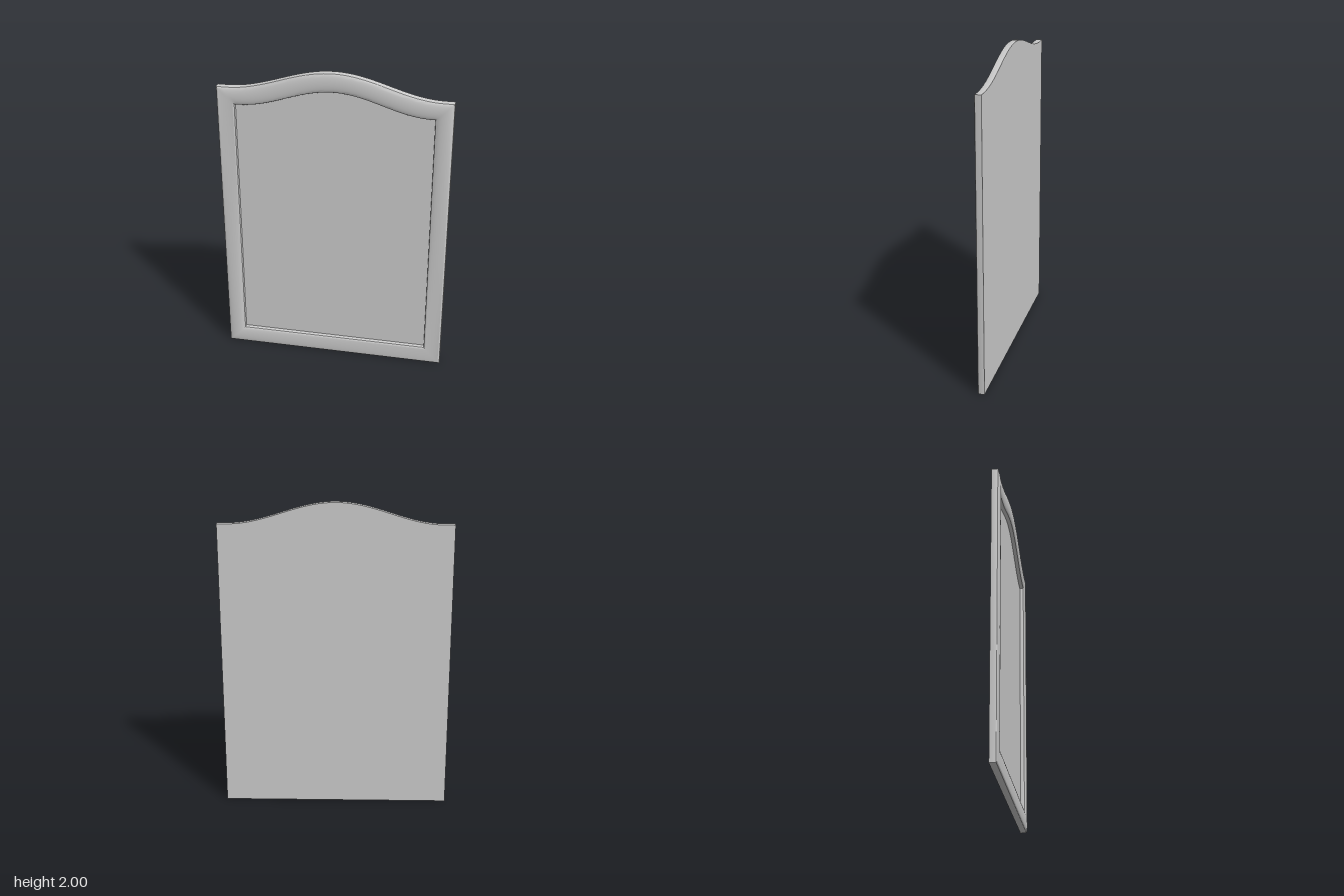
import * as THREE from 'three';
import { toCreasedNormals } from 'three/addons/utils/BufferGeometryUtils.js';

const BACK = -0.025, PANEL_FRONT = -0.01, ARCH_STEPS = 48;

// Anticlockwise outline: straight sides and base, bell-shaped arch on top
function outline(halfWidth, bottom, shoulder, rise, archHalf) {
  const points = [new THREE.Vector2(-halfWidth, bottom), new THREE.Vector2(halfWidth, bottom)];
  for (let i = 0; i <= ARCH_STEPS; i++) {
    const x = halfWidth * (1 - 2 * i / ARCH_STEPS);
    const t = Math.min(Math.abs(x) / archHalf, 1);
    points.push(new THREE.Vector2(x, shoulder + rise * 0.5 * (1 + Math.cos(Math.PI * t))));
  }
  return points;
}

// Closed moulding section: [fraction from outer to inner edge, z]
function mouldingProfile() {
  const profile = [[0, BACK]];
  const steps = 14;
  for (let i = 0; i <= steps; i++) {
    const a = Math.PI * (1 - i / steps);
    profile.push([0.5 + 0.5 * Math.cos(a), 0.011 + 0.014 * Math.sin(a)]);
  }
  profile.push([1, BACK], [0, BACK]);
  return profile;
}

// Sweep the section between two paired outlines, giving mitred corners
function mouldingGeometry(outer, inner) {
  const profile = mouldingProfile();
  const positions = [];
  const corner = (i, [t, z]) => {
    const p = outer[i % outer.length].clone().lerp(inner[i % inner.length], t);
    return [p.x, p.y, z];
  };
  for (let i = 0; i < outer.length; i++) {
    for (let j = 0; j < profile.length - 1; j++) {
      const a = corner(i, profile[j]), b = corner(i + 1, profile[j]);
      const c = corner(i + 1, profile[j + 1]), d = corner(i, profile[j + 1]);
      positions.push(...a, ...b, ...c, ...a, ...c, ...d);
    }
  }
  const geometry = new THREE.BufferGeometry();
  geometry.setAttribute('position', new THREE.Float32BufferAttribute(positions, 3));
  return toCreasedNormals(geometry, 0.5);
}

export function createModel() {
  const group = new THREE.Group();
  group.name = 'archedFramedPanel';
  const material = new THREE.MeshStandardMaterial({ color: 0xcccccc });
  const outer = outline(0.72, 0, 1.866, 0.134, 0.66);
  const inner = outline(0.61, 0.115, 1.756, 0.124, 0.59);

  // Rounded moulding
  const frame = new THREE.Mesh(mouldingGeometry(outer, inner), material);
  frame.name = 'frame';

  // Flat recessed panel, flush with the frame at the back
  const panelGeometry = new THREE.ExtrudeGeometry(new THREE.Shape(inner), {
    depth: PANEL_FRONT - BACK, bevelEnabled: false,
  });
  panelGeometry.translate(0, 0, BACK);
  const panel = new THREE.Mesh(panelGeometry, material);
  panel.name = 'panel';

  group.add(frame, panel);
  return group;
}
